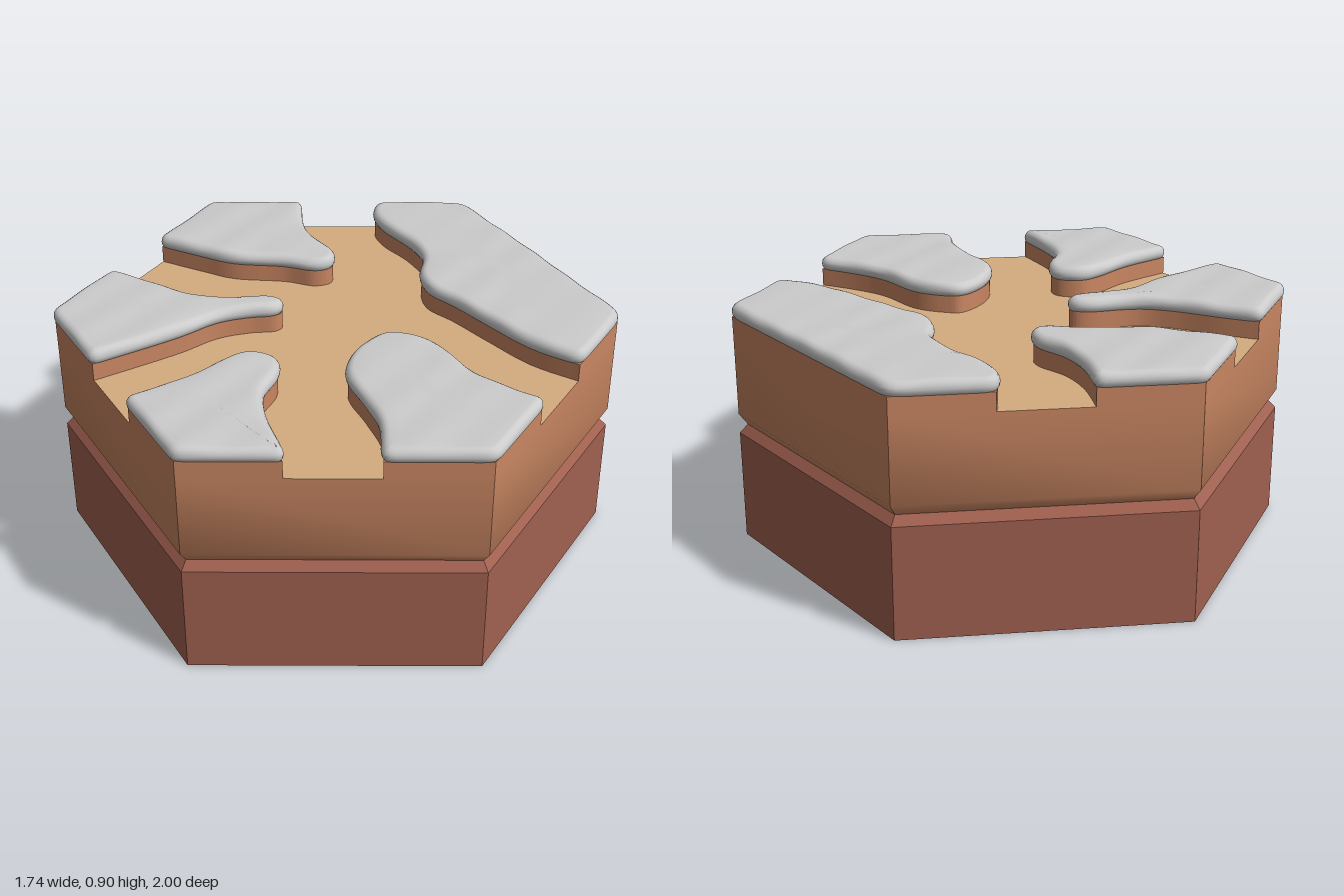
import * as THREE from 'three';
import { toCreasedNormals } from 'three/addons/utils/BufferGeometryUtils.js';

const R = 0.995;          // hexagon corner radius
const FLOOR = 0.78;       // level of the sandy path
const ROCK_TOP = 0.845;

const mat = (color) => new THREE.MeshStandardMaterial({ color, roughness: 0.9 });

// Each island: straight outer border along the tile, then a curved inner shore, as [x, z].
const islands = [
  { name: 'back', centre: [0, -0.74],
    border: [[-0.3, -0.822], [0, -R], [0.3, -0.822]],
    shore: [[0.23, -0.68], [0.2, -0.55], [0.212, -0.42], [0.18, -0.355], [0.11, -0.365], [0.03, -0.45], [-0.12, -0.56], [-0.2, -0.67]] },
  { name: 'backRight', centre: [-0.58, -0.36],
    border: [[-0.862, -0.155], [-0.862, -0.4975], [-0.57, -0.666]],
    shore: [[-0.5, -0.55], [-0.42, -0.4], [-0.33, -0.295], [-0.17, -0.22], [-0.13, -0.165], [-0.17, -0.14], [-0.26, -0.175], [-0.38, -0.195], [-0.55, -0.17]] },
  { name: 'frontRight', centre: [-0.64, 0.34],
    border: [[-0.57, 0.666], [-0.862, 0.4975], [-0.862, 0.145]],
    shore: [[-0.65, 0.135], [-0.5, 0.1], [-0.4, 0.095], [-0.335, 0.165], [-0.37, 0.245], [-0.47, 0.33], [-0.53, 0.47]] },
  { name: 'front', centre: [0, 0.62],
    border: [[0.3, 0.822], [0, R], [-0.3, 0.822]],
    shore: [[-0.22, 0.68], [-0.19, 0.53], [-0.165, 0.37], [-0.07, 0.265], [0.06, 0.212], [0.12, 0.245], [0.183, 0.36], [0.19, 0.55], [0.23, 0.68]] },
  { name: 'left', centre: [0.68, 0],
    border: [[0.57, -0.666], [0.862, -0.4975], [0.862, 0.4975], [0.57, 0.666]],
    shore: [[0.49, 0.5], [0.45, 0.3], [0.42, 0.12], [0.39, 0], [0.42, -0.1], [0.5, -0.2], [0.52, -0.35], [0.505, -0.5], [0.52, -0.6]] },
];

// Outline in (x, -z) so that an extrusion can be laid flat.
function outline({ border, shore }) {
  const v = ([x, z]) => new THREE.Vector2(x, -z);
  const shape = new THREE.Shape();
  shape.moveTo(border[0][0], -border[0][1]);
  border.slice(1).forEach(([x, z]) => shape.lineTo(x, -z));
  shape.splineThru([...shore.map(v), v(border[0])]);
  return shape;
}

// Six-sided block turned from a [radius, y] profile.
function hexBlock(profile, crease) {
  const geo = new THREE.LatheGeometry(profile.map(([r, y]) => new THREE.Vector2(r, y)), 6);
  return toCreasedNormals(geo, crease);
}

function rockGeometry(island) {
  const geo = new THREE.ExtrudeGeometry(outline(island), { depth: ROCK_TOP - FLOOR, bevelEnabled: false, curveSegments: 36 });
  geo.rotateX(-Math.PI / 2).translate(0, FLOOR, 0);
  return toCreasedNormals(geo, 0.5);
}

// Soft pillow: rounded rim rings, then rings shrinking to the centre with gentle bumps.
function snowGeometry(island) {
  let pts = outline(island).getSpacedPoints(150).slice(0, -1);
  if (THREE.ShapeUtils.isClockWise(pts)) pts.reverse();
  const n = pts.length;
  const at = (list, i) => list[(i + n) % n];
  for (let k = 0; k < 3; k++) {
    pts = pts.map((p, i) => p.clone().multiplyScalar(2).add(at(pts, i - 1)).add(at(pts, i + 1)).divideScalar(4));
  }
  const normals = pts.map((p, i) => {
    const t = at(pts, i + 1).clone().sub(at(pts, i - 1)).normalize();
    return new THREE.Vector2(t.y, -t.x);
  });
  const [cx, cz] = island.centre;
  const bump = (x, y) => 0.0016 * (Math.sin(23 * x + 9 * y) + Math.sin(31 * y - 13 * x));
  const pos = [], index = [];

  const rimSteps = 8;
  for (let s = 0; s <= rimSteps; s++) {
    const a = -Math.PI / 2 + (s / rimSteps) * Math.PI;
    const out = 0.01 - 0.028 * (1 - Math.cos(a));
    pts.forEach((p, i) => {
      const x = p.x + normals[i].x * out, y = p.y + normals[i].y * out;
      pos.push(x, 0.865 + 0.029 * Math.sin(a) + (s > 4 ? bump(x, y) : 0), -y);
    });
  }
  const fillSteps = 8, rim = rimSteps * n * 3;
  for (let s = 1; s <= fillSteps; s++) {
    const f = s / fillSteps;
    for (let i = 0; i < n; i++) {
      const x = THREE.MathUtils.lerp(pos[rim + i * 3], cx, f);
      const z = THREE.MathUtils.lerp(pos[rim + i * 3 + 2], cz, f);
      pos.push(x, 0.895 + bump(x, -z), z);
    }
  }
  for (let r = 0; r < rimSteps + fillSteps; r++) {
    for (let i = 0; i < n; i++) {
      const a = r * n + i, b = r * n + (i + 1) % n;
      index.push(a, b, b + n, a, b + n, a + n);
    }
  }
  const geo = new THREE.BufferGeometry();
  geo.setAttribute('position', new THREE.Float32BufferAttribute(pos, 3));
  geo.setIndex(index);
  geo.computeVertexNormals();
  // The collapsed centre points all face straight up
  for (let i = pos.length / 3 - n; i < pos.length / 3; i++) geo.attributes.normal.setXYZ(i, 0, 1, 0);
  return geo;
}

export function createModel() {
  const group = new THREE.Group();
  const add = (name, geo, material) => {
    const mesh = new THREE.Mesh(geo, material);
    mesh.name = name;
    group.add(mesh);
  };
  const earth = mat(0xc98662), clay = mat(0xa06050), sand = mat(0xd4ac7f), snow = mat(0xcccccc);

  // Two stacked hexagonal layers with a bevelled groove between them
  add('baseLayer', hexBlock([[0, 0], [R, 0], [R, 0.405], [0.965, 0.437]], 0.2), clay);
  add('upperLayer', hexBlock([[0.965, 0.437], [R, 0.477], [R, FLOOR]], 0.7), earth);

  // Path surface
  const floor = new THREE.CircleGeometry(R, 6, Math.PI / 2);
  add('sandPath', floor.rotateX(-Math.PI / 2).translate(0, FLOOR, 0), sand);

  // Raised rocks capped with snow
  islands.forEach((island) => {
    add(island.name + 'Rock', rockGeometry(island), earth);
    add(island.name + 'Snow', snowGeometry(island), snow);
  });
  return group;
}
